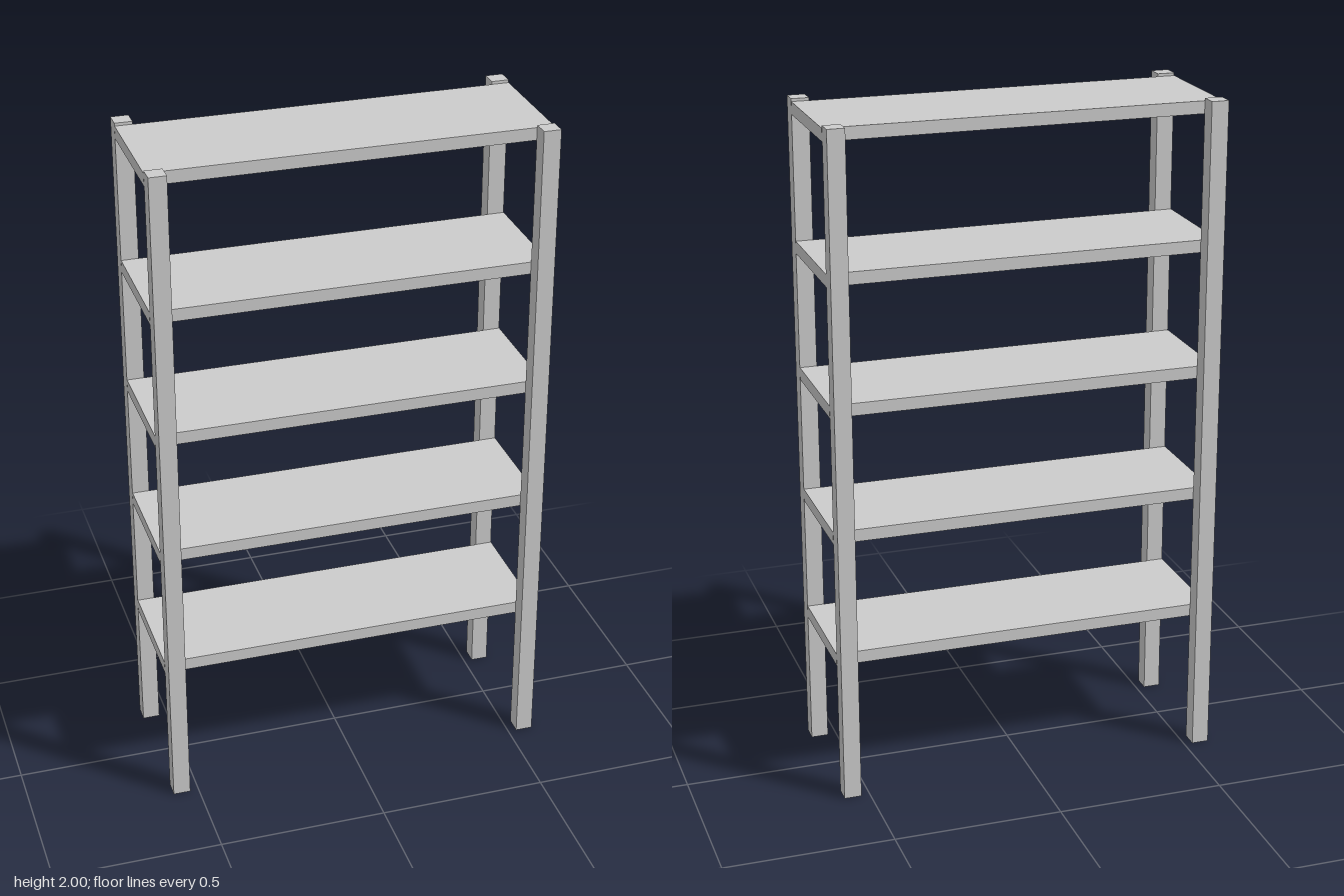
import * as THREE from 'three';

const material = new THREE.MeshStandardMaterial({ color: 0xcccccc, flatShading: true });

function box(name, width, height, depth, x, y, z) {
  const mesh = new THREE.Mesh(new THREE.BoxGeometry(width, height, depth), material);
  mesh.name = name;
  mesh.position.set(x, y, z);
  return mesh;
}

export function createModel() {
  const group = new THREE.Group();
  group.name = 'shelvingRack';

  const halfWidth = 0.577, halfDepth = 0.228, post = 0.051;

  // Four square corner posts
  for (const [sideName, sx] of [['Left', 1], ['Right', -1]]) {
    for (const [endName, sz] of [['front', 1], ['back', -1]]) {
      group.add(box(`${endName}${sideName}Post`, post, 2, post,
        sx * (halfWidth - post / 2), 1, sz * (halfDepth - post / 2)));
    }
  }

  // Five shelf boards held between the front and back posts
  const thickness = 0.037;
  const shelfTops = [0.445, 0.826, 1.207, 1.588, 1.992];
  shelfTops.forEach((top, i) => {
    group.add(box(`shelf${i + 1}`, 2 * halfWidth, thickness, 0.351, 0, top - thickness / 2, 0));
  });

  return group;
}
